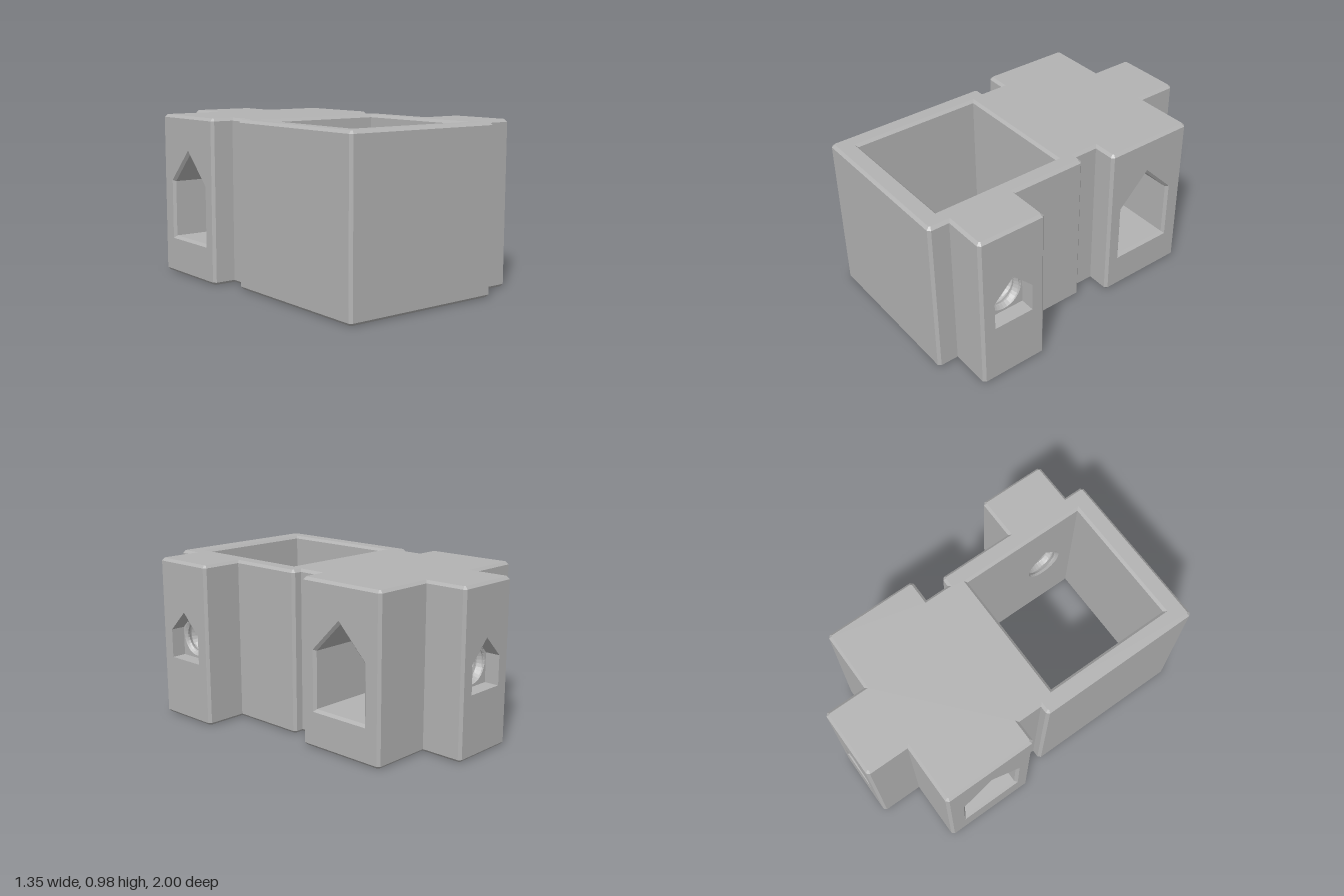
import * as THREE from 'three';
import { mergeGeometries } from 'three/addons/utils/BufferGeometryUtils.js';

const H = 0.98;      // body height
const C = 0.016;     // chamfer size
const V2 = (x, y) => new THREE.Vector2(x, y);
const V3 = (x, y, z) => new THREE.Vector3(x, y, z);
const X = V3(1, 0, 0), Y = V3(0, 1, 0), Z = V3(0, 0, 1);
const neg = v => v.clone().negate();
const toPts = list => list.map(([x, y]) => V2(x, y));

// Local frame: shapes are drawn along u and v, depth runs along u x v
const frame = (origin, u, v) =>
  new THREE.Matrix4().makeBasis(u, v, u.clone().cross(v)).setPosition(origin);

// Flat plate with holes
function panel(m, pts, holes = [], w = 0) {
  const shape = new THREE.Shape(pts);
  holes.forEach(h => shape.holes.push(new THREE.Path(h)));
  const g = new THREE.ShapeGeometry(shape).translate(0, 0, w).applyMatrix4(m).toNonIndexed();
  g.deleteAttribute('uv');
  return g;
}

// Strip of quads joining two closed loops; one side may be left out
function band(m, a, wa, b, wb, skip = -1) {
  const v = [], n = a.length;
  for (let i = 0; i < n; i++) {
    if (i === skip) continue;
    const j = (i + 1) % n;
    const A = [a[i].x, a[i].y, wa], B = [a[j].x, a[j].y, wa];
    const D = [b[i].x, b[i].y, wb], E = [b[j].x, b[j].y, wb];
    v.push(...A, ...B, ...E, ...A, ...E, ...D);
  }
  const g = new THREE.BufferGeometry();
  g.setAttribute('position', new THREE.Float32BufferAttribute(v, 3));
  g.applyMatrix4(m);
  g.computeVertexNormals();
  return g;
}

// Inward offset of a counter-clockwise loop
function inset(pts, d) {
  const n = pts.length;
  return pts.map((p, i) => {
    const e = p.clone().sub(pts[(i + n - 1) % n]).normalize();
    const f = pts[(i + 1) % n].clone().sub(p).normalize();
    const n1 = V2(-e.y, e.x), n2 = V2(-f.y, f.x);
    return n1.clone().add(n2).multiplyScalar(d / (1 + n1.dot(n2))).add(p);
  });
}

// Cut the convex corners of a loop
function cutCorners(pts, c) {
  const n = pts.length;
  return pts.flatMap((p, i) => {
    const e = p.clone().sub(pts[(i + n - 1) % n]).normalize();
    const f = pts[(i + 1) % n].clone().sub(p).normalize();
    if (e.cross(f) < 0) return [p];
    return [p.clone().addScaledVector(e, -c), p.clone().addScaledVector(f, c)];
  });
}

// Round bore section with a 45 degree roof
const BORE = 0.116;
function teardrop(radius = () => BORE, n = 32) {
  return Array.from({ length: n }, (_, i) => {
    const a = i / n * Math.PI * 2;
    const roofed = Math.cos(a) > 0.7;
    const r = roofed ? BORE * Math.SQRT2 / (Math.cos(a) + Math.abs(Math.sin(a))) : radius(a);
    return V2(-r * Math.sin(a), 0.5 + r * Math.cos(a));
  });
}
const house = (w, y0, y1, y2) => toPts([[-w, y0], [w, y0], [w, y1], [0, y2], [-w, y1]]);
const shift = (pts, dx) => pts.map(p => V2(p.x + dx, p.y));

export function createModel() {
  const group = new THREE.Group();
  const grey = new THREE.MeshStandardMaterial({ color: 0xb3b3b3, side: THREE.DoubleSide });
  grey.name = 'plain grey';
  const add = (name, parts) => {
    const mesh = new THREE.Mesh(mergeGeometries(parts), grey);
    mesh.name = name;
    group.add(mesh);
  };

  // Plan outline, x against -z
  const outline = cutCorners(toPts([
    [-0.595, -1], [0.416, -1], [0.416, -0.875], [0.673, -0.875], [0.673, -0.455], [0.416, -0.455],
    [0.416, 0.018], [0.354, 0.018], [0.354, 0.167], [0.497, 0.167], [0.497, 0.742], [0.12, 0.742],
    [0.12, 1], [-0.302, 1], [-0.302, 0.742], [-0.673, 0.742], [-0.673, 0.167], [-0.534, 0.167],
    [-0.534, 0.018], [-0.595, 0.018],
  ]), C);
  const plan = frame(V3(0, 0, 0), X, neg(Z));
  const windowOuter = house(0.197, 0.215, 0.578, 0.775);
  const windowInner = inset(windowOuter, C);
  const nut = house(0.125, 0.37, 0.545, 0.67);
  const openings = [
    { at: V2(0.497, 0.447), pts: windowOuter }, { at: V2(-0.673, 0.447), pts: windowOuter },
    { at: V2(0.673, -0.665), pts: nut }, { at: V2(-0.091, 1), pts: nut },
  ];

  // Outer walls, pierced where an opening lies on them
  const walls = outline.map((a, i) => {
    const b = outline[(i + 1) % outline.length];
    const len = a.distanceTo(b), d = b.clone().sub(a).divideScalar(len);
    const holes = [];
    for (const o of openings) {
      const r = o.at.clone().sub(a), t = r.dot(d);
      if (Math.abs(d.cross(r)) < 0.001 && t > 0 && t < len) holes.push(shift(o.pts, t));
    }
    return panel(frame(V3(a.x, 0, -a.y), V3(d.x, 0, -d.y), Y),
      toPts([[0, C], [len, C], [len, H - C], [0, H - C]]), holes);
  });
  add('outerWalls', walls);

  // Top and bottom faces with chamfered rims
  const rim = inset(outline, C);
  const h = 0.413, cx = -0.09, cs = -0.484;
  const shaftOuter = toPts([[cx - h, cs - h], [cx + h, cs - h], [cx + h, cs + h], [cx - h, cs + h]]);
  const shaft = inset(shaftOuter, C);
  const under = frame(V3(0, 0, 0), X, Z);
  const flip = pts => pts.map(p => V2(p.x, -p.y));
  add('topFace', [panel(plan, rim, [shaftOuter], H), band(plan, outline, H - C, rim, H)]);
  add('bottomFace', [panel(under, flip(rim), [flip(shaftOuter)]), band(plan, rim, 0, outline, C)]);

  // Square vertical shaft; its +x wall takes the side bore
  const sx = shaft[1].x, s0 = shaft[1].y, s1 = shaft[2].y;
  add('squareShaft', [
    band(plan, shaft, H - C, shaft, C, 1),
    band(plan, shaftOuter, H, shaft, H - C),
    band(plan, shaft, C, shaftOuter, 0),
    panel(frame(V3(sx, 0, 0), Z, Y),
      toPts([[-s1, C], [-s0, C], [-s0, H - C], [-s1, H - C]]), [shift(teardrop(), 0.665)]),
  ]);

  // Gabled tunnel through the rear block; its back wall takes the rear bore
  const tunnel = frame(V3(0, 0, -0.447), neg(Z), Y);
  const w0 = -0.673, w1 = 0.497;
  const eave = windowInner[2].y, sill = windowInner[1].y, backZ = -0.447 - windowInner[1].x;
  const clipped = teardrop().map(p => V2(p.x - 0.091, Math.min(p.y, eave - 0.004)));
  add('gabledTunnel', [
    band(tunnel, windowInner, w1 - C, windowInner, w0 + C, 1),
    band(tunnel, windowOuter, w1, windowInner, w1 - C),
    band(tunnel, windowInner, w0 + C, windowOuter, w0),
    panel(frame(V3(0, 0, backZ), X, Y),
      toPts([[w0 + C, sill], [w1 - C, sill], [w1 - C, eave], [w0 + C, eave]]), [clipped]),
  ]);

  // Nut pocket followed by a threaded bore
  function bore(name, m, length) {
    const depth = 0.09, pitch = 0.06, steps = Math.round((length - depth) / pitch * 6);
    add(name + 'NutPocket', [band(m, nut, 0, nut, -depth), panel(m, nut, [teardrop()], -depth)]);
    const ring = w => teardrop(a => {
      const f = w / pitch + a / (Math.PI * 2);
      return BORE - 0.02 * (1 - Math.abs(2 * (f - Math.floor(f)) - 1));
    });
    const parts = [];
    let wa = -depth, ra = teardrop();
    for (let i = 1; i <= steps; i++) {
      const wb = -depth - (length - depth) * i / steps;
      const rb = i === steps ? teardrop() : ring(wb);
      parts.push(band(m, ra, wa, rb, wb));
      wa = wb;
      ra = rb;
    }
    add(name + 'Thread', parts);
  }
  bore('side', frame(V3(0.673, 0, 0.665), neg(Z), Y), 0.673 - sx);
  bore('rear', frame(V3(-0.091, 0, -1), neg(X), Y), 1 + backZ);

  return group;
}
